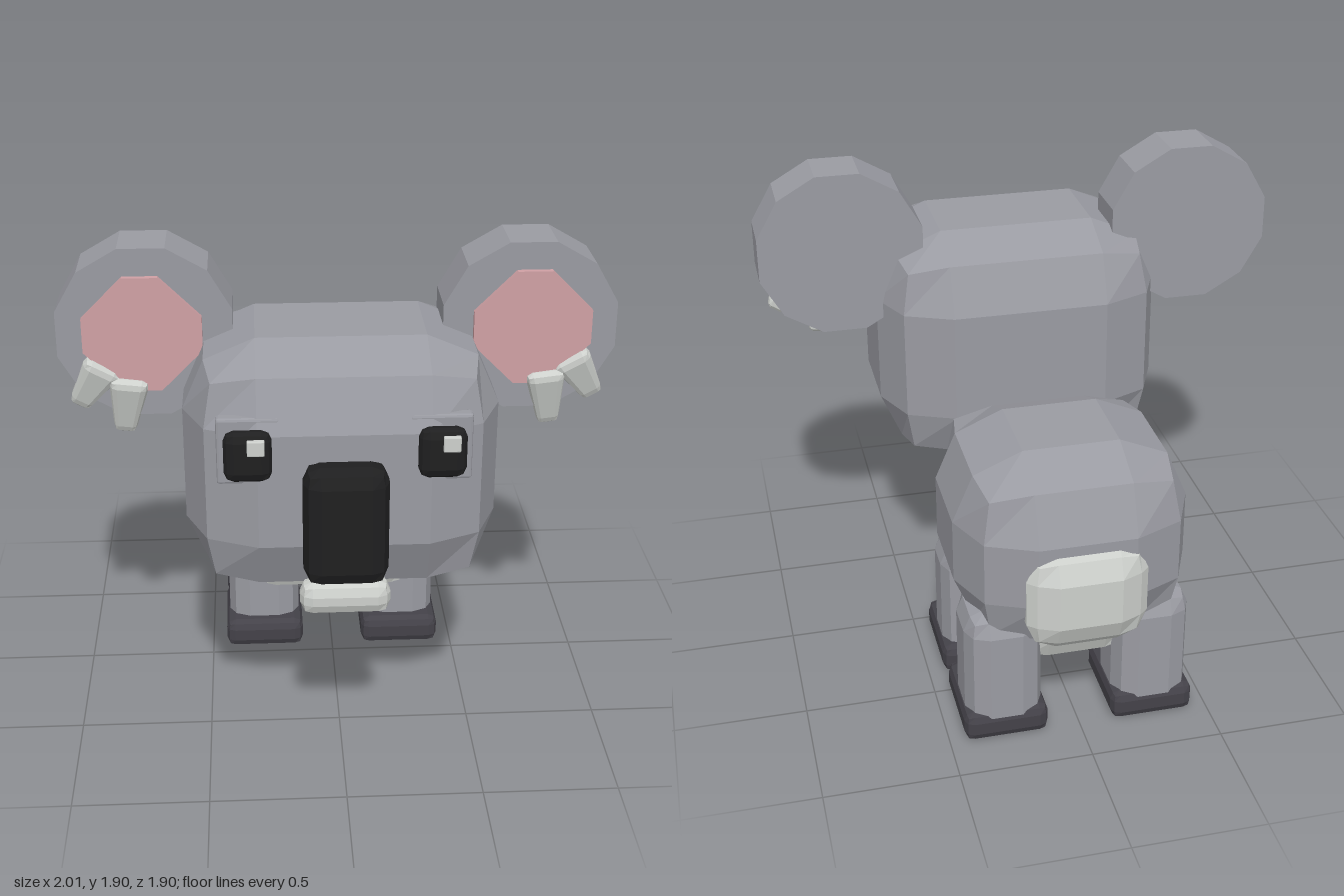
import * as THREE from 'three';

const paint = (name, hex) => {
  const m = new THREE.MeshStandardMaterial({ color: hex });
  m.name = name;
  return m;
};

// Faceted look: every face gets its own normal
function facet(geo) {
  const g = geo.index ? geo.toNonIndexed() : geo;
  g.computeVertexNormals();
  return g;
}

// Box with soft low-poly corners: bevel rows sit b inside each side,
// edges and corners are drawn inward. taper narrows the lower end.
function softBox(w, h, d, b, taper = 1) {
  const half = [w / 2, h / 2, d / 2];
  const geo = new THREE.BoxGeometry(2, 2, 2, 3, 3, 3);
  const p = geo.attributes.position;
  for (let i = 0; i < p.count; i++) {
    const v = [p.getX(i), p.getY(i), p.getZ(i)];
    const outer = v.filter((c) => Math.abs(c) > 0.9).length;
    const pull = [0, 0, 0.3, 0.4][outer] * b;
    const q = v.map((c, k) => Math.sign(c) * (half[k] - (Math.abs(c) > 0.9 ? pull : Math.min(b, half[k] * 0.75))));
    const s = taper + (1 - taper) * (q[1] / h + 0.5);
    p.setXYZ(i, q[0] * s, q[1], q[2] * s);
  }
  return facet(geo);
}

export function createModel() {
  const grey = paint('grey fur', 0x9a9ba2);
  const pale = paint('pale fur', 0xcdd0cc);
  const pink = paint('ear pink', 0xcfa0a4);
  const dark = paint('paw dark', 0x444249);
  const black = paint('black', 0x1f1f20);

  const model = new THREE.Group();
  model.name = 'koala';

  const add = (name, geo, mat, x, y, z) => {
    const mesh = new THREE.Mesh(geo, mat);
    mesh.name = name;
    mesh.position.set(x, y, z);
    model.add(mesh);
    return mesh;
  };
  // Soft box given by its limits on each axis
  const block = (name, mat, [x0, x1], [y0, y1], [z0, z1], b) =>
    add(name, softBox(x1 - x0, y1 - y0, z1 - z0, b), mat, (x0 + x1) / 2, (y0 + y1) / 2, (z0 + z1) / 2);

  // Head and face
  block('head', grey, [-0.56, 0.56], [0.685, 1.63], [-0.04, 0.82], 0.26);
  block('nose', black, [-0.148, 0.148], [0.84, 1.285], [0.79, 0.95], 0.06);
  block('chin', pale, [-0.16, 0.16], [0.697, 0.82], [0.78, 0.89], 0.045);

  // Body with pale chest, belly and rump
  block('body', grey, [-0.44, 0.44], [0.35, 1.115], [-0.9, -0.055], 0.26);
  block('chest', pale, [-0.295, 0.295], [0.33, 0.85], [-0.13, 0.07], 0.06);
  block('belly', pale, [-0.22, 0.22], [0.255, 0.62], [-0.78, -0.18], 0.11);
  block('rump', pale, [-0.225, 0.225], [0.43, 0.83], [-0.95, -0.78], 0.11);

  // Inner ear: square with cut corners
  const f = 0.063, r = 0.213;
  const inner = new THREE.Shape([
    [f, r], [-f, r], [-r, f], [-r, -f], [-f, -r], [f, -r], [r, -f], [r, f],
  ].map(([x, y]) => new THREE.Vector2(x, y)));

  for (const s of [1, -1]) {
    const side = s > 0 ? 'left' : 'right';
    const mid = (x0, x1) => (s > 0 ? [x0, x1] : [-x1, -x0]);

    // Eyes, brow plates and glints (glints sit on the same side of both eyes)
    block(side + 'EyePatch', grey, mid(0.22, 0.44), [1.185, 1.43], [0.75, 0.8], 0.01);
    block(side + 'Eye', black, mid(0.25, 0.415), [1.215, 1.4], [0.8, 0.862], 0.035);
    const gx = s * 0.3325 + 0.028;
    block(side + 'Glint', pale, [gx - 0.03, gx + 0.03], [1.322, 1.378], [0.84, 0.873], 0.004);

    // Ears: twelve-sided discs with pink inlays
    const disc = new THREE.CylinderGeometry(0.325, 0.325, 0.21, 12).rotateX(Math.PI / 2).rotateZ(Math.PI / 12);
    add(side + 'Ear', facet(disc), grey, s * 0.69, 1.587, 0.28);
    const inlay = new THREE.ExtrudeGeometry(inner, { depth: 0.025, bevelEnabled: false });
    add(side + 'InnerEar', facet(inlay), pink, s * 0.698, 1.587, 0.382);

    // Ear tufts tapering downward
    const tufts = [[0.89, 1.39, 0.55, 0.2], [0.765, 1.31, 0.13, 0.23]];
    for (const [x, y, turn, len] of tufts) {
      const tuft = add(side + 'EarTuft', softBox(0.15, len, 0.09, 0.03, 0.5), pale, s * x, y, 0.375);
      tuft.rotation.set(0.2, 0, s * turn);
    }

    // Legs and paws
    for (const [end, legZ, pawZ] of [['front', [-0.375, -0.09], [-0.4, -0.03]], ['back', [-0.83, -0.525], [-0.835, -0.46]]]) {
      block(side + end + 'Leg', grey, mid(0.137, 0.428), [0.01, 0.535], legZ, 0.085);
      block(side + end + 'Paw', dark, mid(0.123, 0.442), [0, 0.118], pawZ, 0.035);
    }
  }
  return model;
}
